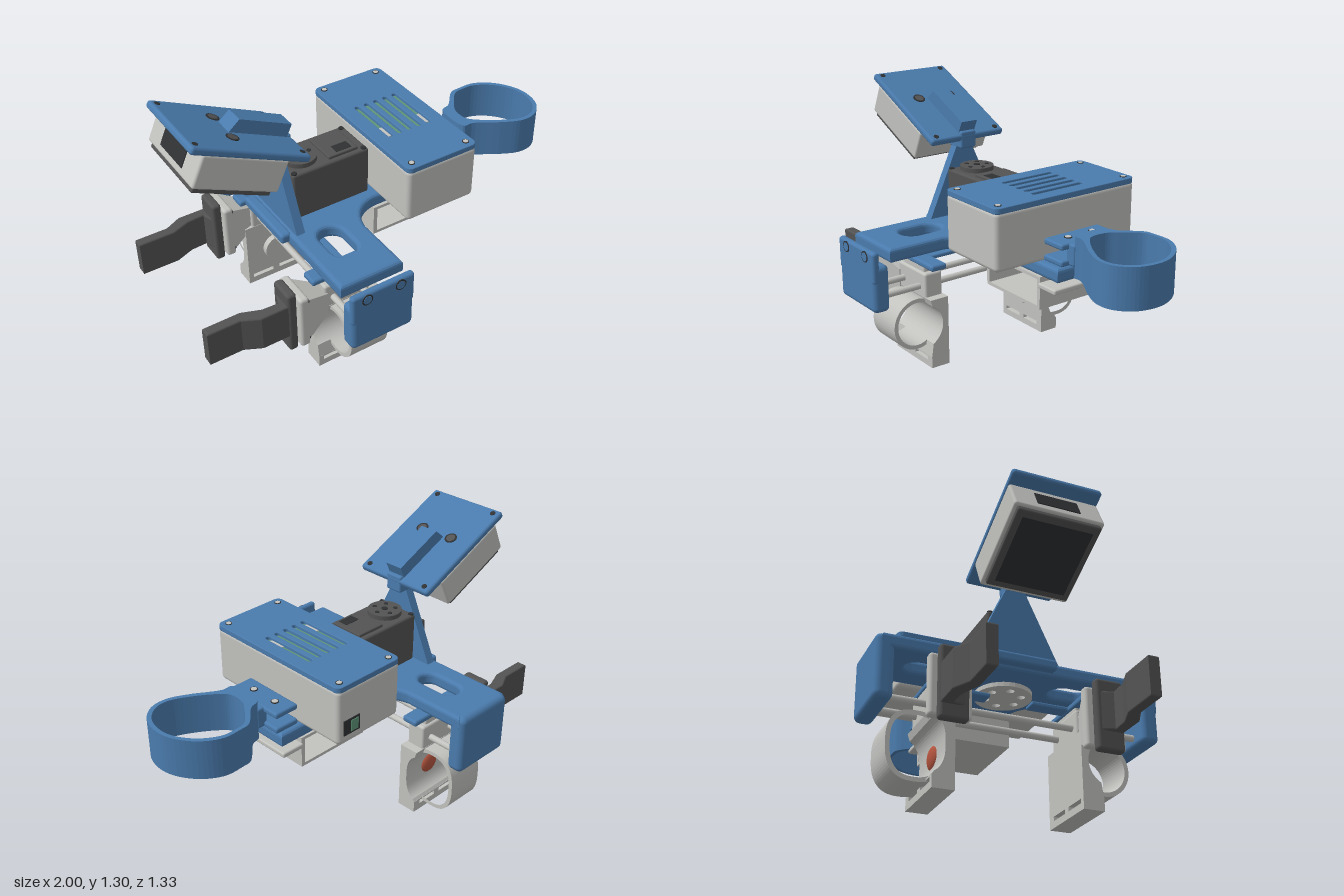
import * as THREE from 'three';
import { RoundedBoxGeometry } from 'three/addons/geometries/RoundedBoxGeometry.js';

const mat = (name, color) => Object.assign(new THREE.MeshStandardMaterial({ color }), { name });

export function createModel() {
  const root = new THREE.Group();
  const blue = mat('blue plastic', 0x4a7bad);
  const grey = mat('light grey plastic', 0xc2c2bf);
  const dark = mat('dark plastic', 0x535353);
  const black = mat('shadow black', 0x2f3133);
  const green = mat('circuit green', 0x5f9478);
  const red = mat('sensor red', 0xb4553f);

  const add = (name, geo, m, parent = root) => {
    const mesh = new THREE.Mesh(geo, m);
    mesh.name = name;
    parent.add(mesh);
    return mesh;
  };
  // Box given by its limits, with rounded edges when r > 0
  const box = (name, m, x0, x1, y0, y1, z0, z1, r = 0, parent = root) => {
    const s = [x1 - x0, y1 - y0, z1 - z0];
    const g = r ? new RoundedBoxGeometry(...s, 3, r) : new THREE.BoxGeometry(...s);
    g.translate((x0 + x1) / 2, (y0 + y1) / 2, (z0 + z1) / 2);
    return add(name, g, m, parent);
  };
  // Cylinder centred on a point along a chosen axis
  const cyl = (name, m, r, len, x, y, z, axis = 'y', parent = root, seg = 24) => {
    const g = new THREE.CylinderGeometry(r, r, len, seg);
    if (axis === 'x') g.rotateZ(Math.PI / 2);
    if (axis === 'z') g.rotateX(Math.PI / 2);
    return add(name, g.translate(x, y, z), m, parent);
  };
  const poly = (pts) => new THREE.Shape(pts.map((p) => new THREE.Vector2(...p)));
  const extrude = (shape, depth, b = 0) => new THREE.ExtrudeGeometry(shape, {
    depth: depth - 2 * b, bevelEnabled: b > 0, bevelSize: b, bevelThickness: b, bevelOffset: -b, bevelSegments: 3, curveSegments: 16,
  }).translate(0, 0, b);
  // Shape drawn in x,z and raised between two heights
  const slab = (shape, y0, y1, b) => extrude(shape, y1 - y0, b).rotateX(Math.PI / 2).translate(0, y1, 0);
  // Shape drawn in z,y and stretched along x
  const along = (shape, x0, x1, b) => extrude(shape, x1 - x0, b).rotateY(-Math.PI / 2).translate(x1, 0, 0);
  const slot = (x, z, hw, hl) => {
    const p = new THREE.Path();
    p.absarc(x, z + hl - hw, hw, 0, Math.PI, false);
    p.absarc(x, z - hl + hw, hw, Math.PI, Math.PI * 2, false);
    p.closePath();
    return p;
  };

  // Base plate: crossbar with filleted arm
  const base = new THREE.Shape();
  base.moveTo(-0.475, -0.64);
  base.lineTo(-0.155, -0.64);
  base.lineTo(-0.155, -0.33);
  base.quadraticCurveTo(-0.13, -0.2, 0, -0.185);
  base.lineTo(0.5, -0.185);
  base.lineTo(0.5, 0.13);
  base.lineTo(0, 0.13);
  base.quadraticCurveTo(-0.13, 0.145, -0.155, 0.28);
  base.lineTo(-0.155, 0.575);
  base.lineTo(-0.475, 0.575);
  base.closePath();
  base.holes.push(slot(-0.32, -0.38, 0.05, 0.11), slot(-0.32, 0.305, 0.062, 0.108));
  add('basePlate', slab(base, 0.587, 0.655, 0.018), blue);
  box('plateLip', blue, -0.515, -0.46, 0.605, 0.655, -0.2, 0.15, 0.015);

  // End walls
  box('backWall', blue, -0.475, -0.155, 0.355, 0.655, -0.665, -0.58, 0.03);
  box('frontWall', blue, -0.475, -0.155, 0.355, 0.585, 0.58, 0.665, 0.025);
  box('frontWallUpper', blue, -0.475, -0.155, 0.5, 0.655, 0.63, 0.665, 0.015);
  for (const x of [-0.4, -0.23]) {
    cyl('screwRim', black, 0.027, 0.006, x, 0.622, 0.664, 'z');
    cyl('screwHead', blue, 0.021, 0.009, x, 0.622, 0.664, 'z');
  }
  for (const x of [-0.385, -0.245]) cyl('guideRod', grey, 0.016, 1.18, x, 0.4, 0, 'z');

  // Controller case with vented lid
  box('caseBody', grey, 0.01, 0.385, 0.657, 0.93, -0.42, 0.375, 0.022);
  const lid = new THREE.Shape();
  const [lx0, lx1, lz0, lz1, lr] = [0.008, 0.388, -0.422, 0.377, 0.03];
  lid.absarc(lx1 - lr, lz1 - lr, lr, 0, Math.PI / 2);
  lid.absarc(lx0 + lr, lz1 - lr, lr, Math.PI / 2, Math.PI);
  lid.absarc(lx0 + lr, lz0 + lr, lr, Math.PI, Math.PI * 1.5);
  lid.absarc(lx1 - lr, lz0 + lr, lr, Math.PI * 1.5, Math.PI * 2);
  for (let i = 0; i < 5; i++) lid.holes.push(slot(0.094 + i * 0.053, -0.027, 0.0125, 0.147));
  add('caseLid', slab(lid, 0.922, 0.95, 0.004), blue);
  box('circuitBoard', green, 0.07, 0.33, 0.929, 0.934, -0.19, 0.14);
  for (const x of [0.094, 0.306]) box('boardConnector', grey, x - 0.02, x + 0.02, 0.93, 0.937, 0.02, 0.1);
  for (const x of [0.048, 0.348]) for (const z of [-0.385, 0.338]) {
    cyl('lidScrewRim', black, 0.016, 0.004, x, 0.95, z);
    cyl('lidScrew', grey, 0.012, 0.007, x, 0.95, z);
  }
  box('portOpening', black, 0.26, 0.355, 0.7, 0.775, -0.424, -0.418);
  box('portBoard', green, 0.27, 0.315, 0.71, 0.765, -0.427, -0.419);

  // Servo
  box('servoBody', dark, -0.405, -0.005, 0.655, 0.9, -0.14, 0.083, 0.012);
  cyl('servoHorn', dark, 0.082, 0.022, -0.31, 0.912, -0.026, 'y', root, 32);
  for (let i = 0; i < 5; i++) {
    const a = i * Math.PI * 0.4;
    cyl('hornHole', black, 0.011, 0.004, -0.31 + 0.052 * Math.cos(a), 0.923, -0.026 + 0.052 * Math.sin(a), 'y', root, 12);
  }
  cyl('hornScrew', black, 0.015, 0.008, -0.31, 0.923, -0.026);
  box('servoCap', dark, -0.205, -0.05, 0.895, 0.914, -0.115, 0.06, 0.006);
  box('servoCapLabel', black, -0.155, -0.075, 0.912, 0.916, -0.005, 0.045);
  for (const x of [-0.39, -0.025]) for (const z of [-0.122, 0.066]) cyl('servoBolt', black, 0.013, 0.008, x, 0.9, z, 'y', root, 12);

  // Drive disc below the plate
  const disc = new THREE.Shape().absarc(-0.31, -0.026, 0.13, 0, Math.PI * 2);
  for (let i = 0; i < 6; i++) {
    const a = (i * Math.PI) / 3;
    disc.holes.push(new THREE.Path().absarc(-0.31 + 0.08 * Math.cos(a), -0.026 + 0.08 * Math.sin(a), 0.018, 0, Math.PI * 2));
  }
  add('driveDisc', slab(disc, 0.525, 0.545), grey);
  cyl('driveShaft', dark, 0.04, 0.06, -0.31, 0.565, -0.026);

  // Battery sleeve under the arm
  const sleeve = poly([[-0.01, 0.43], [0.385, 0.43], [0.385, 0.587], [-0.01, 0.587]]);
  sleeve.holes.push(poly([[0.01, 0.445], [0.01, 0.572], [0.365, 0.572], [0.365, 0.445]]));
  add('batterySleeve', extrude(sleeve, 0.32).translate(0, 0, -0.185), grey);
  box('sleeveTab', grey, 0.38, 0.5, 0.537, 0.562, -0.195, 0.145, 0.008);
  for (const z of [-0.1, 0.04]) cyl('sleeveTabHole', black, 0.018, 0.006, 0.45, 0.538, z);

  // Display post, tapering upward
  add('displayPost', along(poly([[-0.23, 0.65], [0.185, 0.65], [0.023, 1.0], [0.023, 1.07], [-0.068, 1.07], [-0.068, 1.0]]), -0.455, -0.412), blue);
  box('postHinge', blue, -0.475, -0.37, 0.995, 1.08, -0.067, 0.022, 0.01);

  // Tilted display
  const display = new THREE.Group();
  display.name = 'display';
  display.position.set(-0.632, 1.185, -0.022);
  display.rotation.z = -0.436;
  root.add(display);
  box('displayCover', blue, -0.295, 0.295, -0.036, 0, -0.212, 0.212, 0.014, display);
  box('displayBody', grey, -0.235, 0.19, -0.187, -0.03, -0.21, 0.21, 0.012, display);
  box('screenFrame', dark, -0.222, 0.165, -0.212, -0.18, -0.195, 0.195, 0.008, display);
  box('screen', black, -0.19, 0.135, -0.215, -0.21, -0.165, 0.165, 0, display);
  box('displayPort', black, -0.239, -0.232, -0.15, -0.07, -0.1, 0.1, 0, display);
  const arm = poly([[-0.035, 0], [-0.005, 0.063], [0.265, 0.063], [0.265, -0.01], [0, -0.01]]);
  add('displayArm', extrude(arm, 0.092).translate(0, 0, -0.048), blue, display);
  for (const z of [-0.09, 0.09]) {
    cyl('coverHoleRim', black, 0.03, 0.006, -0.042, 0, z, 'y', display);
    cyl('coverHole', dark, 0.022, 0.008, -0.042, 0, z, 'y', display);
  }
  for (const x of [-0.265, 0.265]) for (const z of [-0.175, 0.175]) cyl('coverScrew', black, 0.013, 0.005, x, 0, z, 'y', display);

  // Arm band with clamp
  const bandPts = [[0.55, -0.09], [0.6, -0.11], [0.69, -0.2], [0.74, -0.207], [0.83, -0.205], [0.92, -0.15], [0.985, -0.05], [0.997, 0.04],
    [0.97, 0.13], [0.9, 0.19], [0.82, 0.197], [0.73, 0.16], [0.6, 0.085], [0.55, 0.08]];
  const holePts = [[0.6, -0.05], [0.63, -0.1], [0.7, -0.18], [0.75, -0.19], [0.82, -0.187], [0.905, -0.135], [0.967, -0.045], [0.978, 0.035],
    [0.952, 0.12], [0.89, 0.172], [0.825, 0.178], [0.74, 0.142], [0.64, 0.075], [0.6, 0.03]];
  const smooth = (pts) => new THREE.CatmullRomCurve3(pts.map(([x, z]) => new THREE.Vector3(x, z, 0)), true).getPoints(72).slice(0, 72).map((p) => [p.x, p.y]);
  const band = poly(smooth(bandPts));
  band.holes.push(poly(smooth(holePts)));
  add('armBand', slab(band, 0.625, 0.815), blue);
  box('clampNeck', blue, 0.505, 0.56, 0.675, 0.775, -0.1, 0.09, 0.01);
  for (const [y0, y1] of [[0.672, 0.7], [0.748, 0.776]]) box('clampJaw', blue, 0.4, 0.525, y0, y1, -0.183, 0.13, 0.01);
  for (const z of [-0.1, 0.04]) {
    cyl('clampHoleRim', black, 0.018, 0.004, 0.46, 0.777, z);
    cyl('clampHole', grey, 0.014, 0.007, 0.46, 0.777, z);
  }

  // Finger carriages: dir is the outward side, zi the inner face
  const carriage = (name, dir, zi, mountZ, c, cy, rz, ry, n) => {
    const g = new THREE.Group();
    g.name = name;
    root.add(g);
    const oval = (t, k) => {
      const f = (v) => Math.sign(v) * Math.abs(v) ** (2 / n);
      return [zi + dir * (c + (rz + k) * f(Math.cos(t))), cy + (ry + k) * f(Math.sin(t))];
    };
    const loop = (k) => Array.from({ length: 64 }, (_, i) => oval((i / 64) * Math.PI * 2, k));
    const zo = zi + dir * 0.1;
    const span = (x0, x1, y0, y1, s0, s1, m, r, label) => {
      const a = zi + dir * s0, b = zi + dir * s1;
      return box(label, m, x0, x1, y0, y1, Math.min(a, b), Math.max(a, b), r, g);
    };
    // Block with a bite for the finger, over a slotted foot
    const bite = loop(0).filter(([z]) => dir * (zo - z) > 0.002);
    bite.sort((a, b) => a[1] - b[1]);
    add('fingerBlock', along(poly([[zi, 0.058], [zo, 0.058], ...bite, [zo, 0.355], [zi, 0.355]]), -0.47, -0.145), grey, g);
    const foot = poly([[-0.47, 0], [-0.145, 0], [-0.145, 0.06], [-0.47, 0.06]]);
    for (const [a, b] of [[-0.445, -0.33], [-0.295, -0.185]]) foot.holes.push(poly([[a, 0.032], [a, 0.052], [b, 0.052], [b, 0.032]]));
    add('slottedFoot', extrude(foot, 0.1).translate(0, 0, Math.min(zi, zo)), grey, g);
    const ring = poly(loop(0.02));
    ring.holes.push(poly(loop(0)));
    add('fingerRing', along(ring, -0.4, -0.205), grey, g);
    span(-0.43, -0.19, 0.34, 0.475, 0.002, 0.098, grey, 0.012, 'rodTower');
    span(-0.4, -0.22, 0.46, 0.505, 0.015, 0.085, grey, 0.008, 'towerTop');
    // Blue linkage to the drive disc
    span(-0.485, -0.14, 0.497, 0.528, 0.005, 0.09, blue, 0.012, 'linkBar');
    const lz = [dir * 0.1, zi + dir * 0.05].sort((a, b) => a - b);
    box('linkArm', blue, -0.345, -0.275, 0.503, 0.524, lz[0], lz[1], 0.008, g);

    // Mounting plate and flared bracket
    const top = dir > 0 ? 0.515 : 0.54;
    const y0 = top - 0.28, ym = top - 0.14;
    box('mountPlate', grey, -0.588, -0.54, y0, top, mountZ - 0.095, mountZ + 0.095, 0.015, g);
    const flare = new THREE.BoxGeometry(0.13, 0.24, 0.17);
    const p = flare.attributes.position;
    for (let i = 0; i < p.count; i++) if (p.getX(i) > 0) p.setXYZ(i, p.getX(i), p.getY(i) * 0.5, p.getZ(i) * 0.5);
    flare.computeVertexNormals();
    add('mountFlare', flare.translate(-0.48, ym, mountZ), grey, g);
    for (const dy of [-0.11, 0.11]) for (const dz of [-0.075, 0.075]) cyl('mountHole', black, 0.011, 0.006, -0.54, ym + dy, mountZ + dz, 'x', g, 12);

    // Dark paddle with its flange
    box('paddleFlange', dark, -0.632, -0.586, ym - 0.165, ym + 0.165, mountZ - 0.065, mountZ + 0.065, 0.015, g);
    const outline = [[-1, -0.03], [-0.82, -0.03], [-0.73, 0.005], [-0.65, 0.01], [-0.63, -0.05], [-0.6, -0.05], [-0.6, 0.06], [-0.76, 0.06], [-0.84, 0.02], [-1, 0.02]];
    add('paddle', slab(poly(outline.map(([x, s]) => [x, mountZ + dir * s])), 0.298, 0.48, 0.008), dark, g);
    return g;
  };
  carriage('frontFingerCarriage', 1, 0.27, 0.33, 0.14, 0.225, 0.108, 0.11, 2);
  const rear = carriage('backFingerCarriage', -1, -0.31, -0.375, 0.15, 0.198, 0.108, 0.137, 2.6);

  // Pulse sensor in the rear carriage
  cyl('sensorHousing', grey, 0.07, 0.04, -0.31, 0.19, -0.3, 'z', rear);
  add('sensorPad', new THREE.SphereGeometry(1, 24, 16).scale(0.055, 0.055, 0.022).translate(-0.31, 0.19, -0.348), red, rear);

  return root;
}
